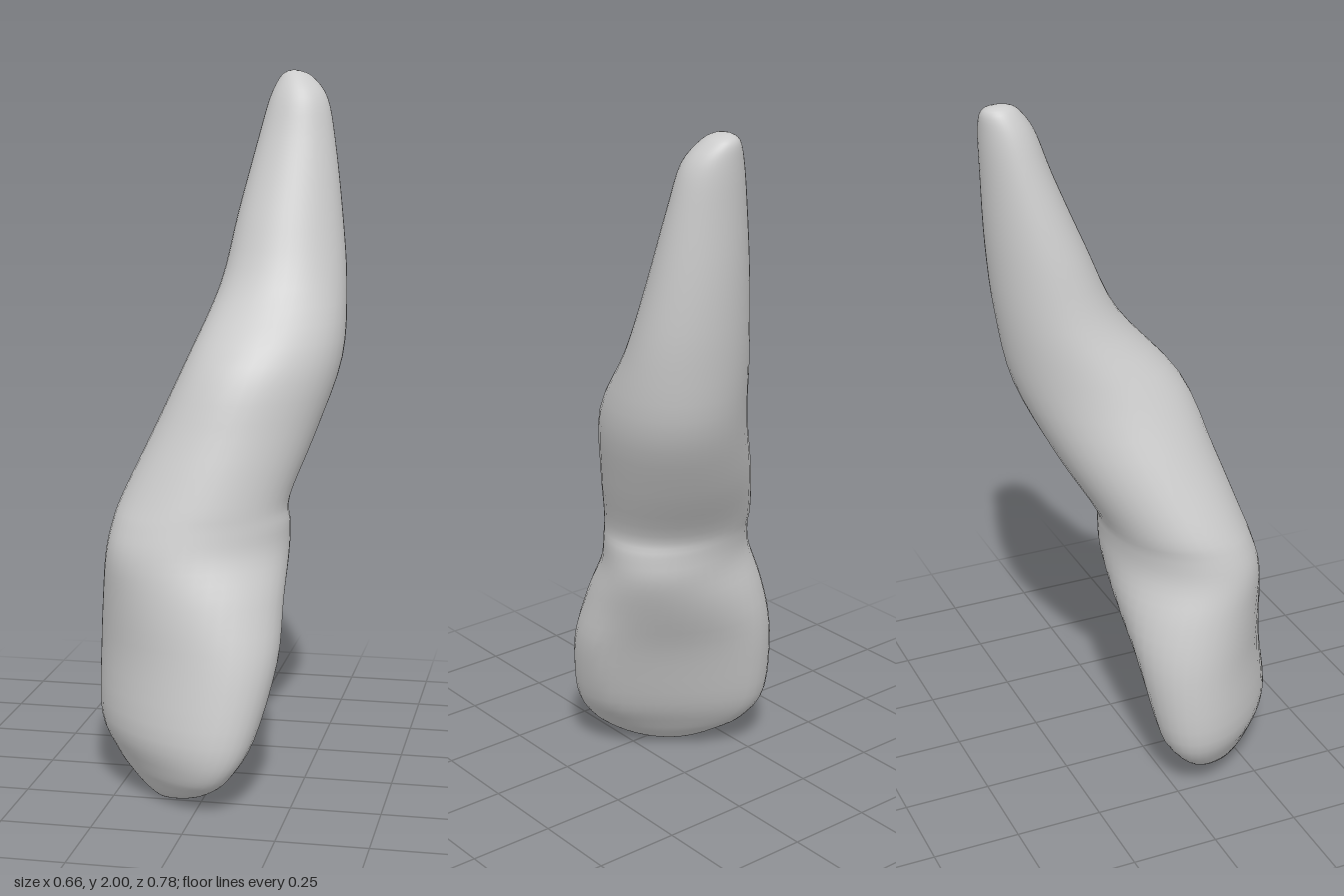
import * as THREE from 'three';

// Cross-sections from the biting edge to the root tip:
// [y, xMin, xMax, zMin, zMax, skew towards the x = z diagonal, flatness of the inner face]
const SECTIONS = [
  [0.004, -0.135, -0.085, 0.195, 0.245, 0.6, 0],
  [0.02, -0.175, -0.02, 0.14, 0.29, 0.65, 0],
  [0.05, -0.225, 0.04, 0.085, 0.335, 0.7, 0.1],
  [0.1, -0.28, 0.095, 0.02, 0.375, 0.68, 0.3],
  [0.2, -0.328, 0.155, -0.045, 0.39, 0.53, 0.45],
  [0.4, -0.328, 0.205, -0.088, 0.357, 0.36, 0.4],
  [0.56, -0.312, 0.208, -0.108, 0.327, 0.1, 0.1],
  [0.68, -0.293, 0.21, -0.113, 0.298, -0.17, 0],
  [0.76, -0.278, 0.21, -0.117, 0.277, -0.17, 0],
  [0.83, -0.258, 0.208, -0.135, 0.257, -0.09, 0],
  [1.0, -0.185, 0.268, -0.23, 0.205, -0.12, 0],
  [1.2, -0.1, 0.327, -0.318, 0.135, -0.17, 0],
  [1.4, -0.03, 0.327, -0.357, -0.03, -0.1, 0],
  [1.6, 0.01, 0.306, -0.377, -0.12, -0.1, 0],
  [1.8, 0.055, 0.278, -0.386, -0.2, -0.04, 0],
  [1.92, 0.085, 0.252, -0.391, -0.242, 0, 0],
  [1.98, 0.112, 0.205, -0.387, -0.285, 0, 0],
  [1.997, 0.135, 0.168, -0.36, -0.315, 0, 0],
];
const SEGMENTS = 40;
const STEPS = 4;

// Smooth interpolation of a whole section row
function sectionAt(s) {
  const last = SECTIONS.length - 1;
  const i = Math.min(Math.floor(s), last - 1);
  const f = s - i;
  const row = (k) => SECTIONS[THREE.MathUtils.clamp(k, 0, last)];
  return row(i).map((b, n) => {
    const a = row(i - 1)[n], c = row(i + 1)[n], d = row(i + 2)[n];
    return b + 0.5 * f * (c - a + f * (2 * a - 5 * b + 4 * c - d + f * (3 * (b - c) + d - a)));
  });
}

// Skewed oval, flattened on the inner side, then fitted to its extents
function ring([y, x0, x1, z0, z1, skew, flat]) {
  const phi = Math.asin(skew);
  const pts = [];
  for (let j = 0; j < SEGMENTS; j++) {
    const t = (j / SEGMENTS) * Math.PI * 2;
    const p = new THREE.Vector2(Math.cos(t), Math.sin(t + phi));
    const excess = Math.max(0, p.x * 0.6 - p.y * 0.8 - 0.45) * flat;
    pts.push(p.set(p.x - 0.6 * excess, p.y + 0.8 * excess));
  }
  const box = new THREE.Box2().setFromPoints(pts);
  const size = box.getSize(new THREE.Vector2());
  return pts.map((p) => [
    x0 + ((p.x - box.min.x) / size.x) * (x1 - x0),
    y,
    z0 + ((p.y - box.min.y) / size.y) * (z1 - z0),
  ]);
}

function loftGeometry() {
  const positions = [];
  const indices = [];
  const rings = (SECTIONS.length - 1) * STEPS + 1;
  for (let i = 0; i < rings; i++) {
    for (const p of ring(sectionAt(i / STEPS))) positions.push(...p);
  }
  const bottom = rings * SEGMENTS;
  const top = bottom + 1;
  positions.push(-0.11, 0, 0.22, 0.15, 2, -0.338);
  for (let j = 0; j < SEGMENTS; j++) {
    const k = (j + 1) % SEGMENTS;
    for (let i = 0; i < rings - 1; i++) {
      const a = i * SEGMENTS + j, b = i * SEGMENTS + k;
      indices.push(a, a + SEGMENTS, b, b, a + SEGMENTS, b + SEGMENTS);
    }
    const end = (rings - 1) * SEGMENTS;
    indices.push(bottom, j, k, top, end + k, end + j);
  }
  const geometry = new THREE.BufferGeometry();
  geometry.setAttribute('position', new THREE.Float32BufferAttribute(positions, 3));
  geometry.setIndex(indices);
  geometry.computeVertexNormals();
  return geometry;
}

export function createModel() {
  const enamel = new THREE.MeshStandardMaterial({ color: 0xcccccc });
  enamel.name = 'light grey enamel';
  // Crown and root form one continuous body
  const tooth = new THREE.Mesh(loftGeometry(), enamel);
  tooth.name = 'toothCrownAndRoot';
  const group = new THREE.Group();
  group.name = 'tooth';
  group.add(tooth);
  return group;
}
